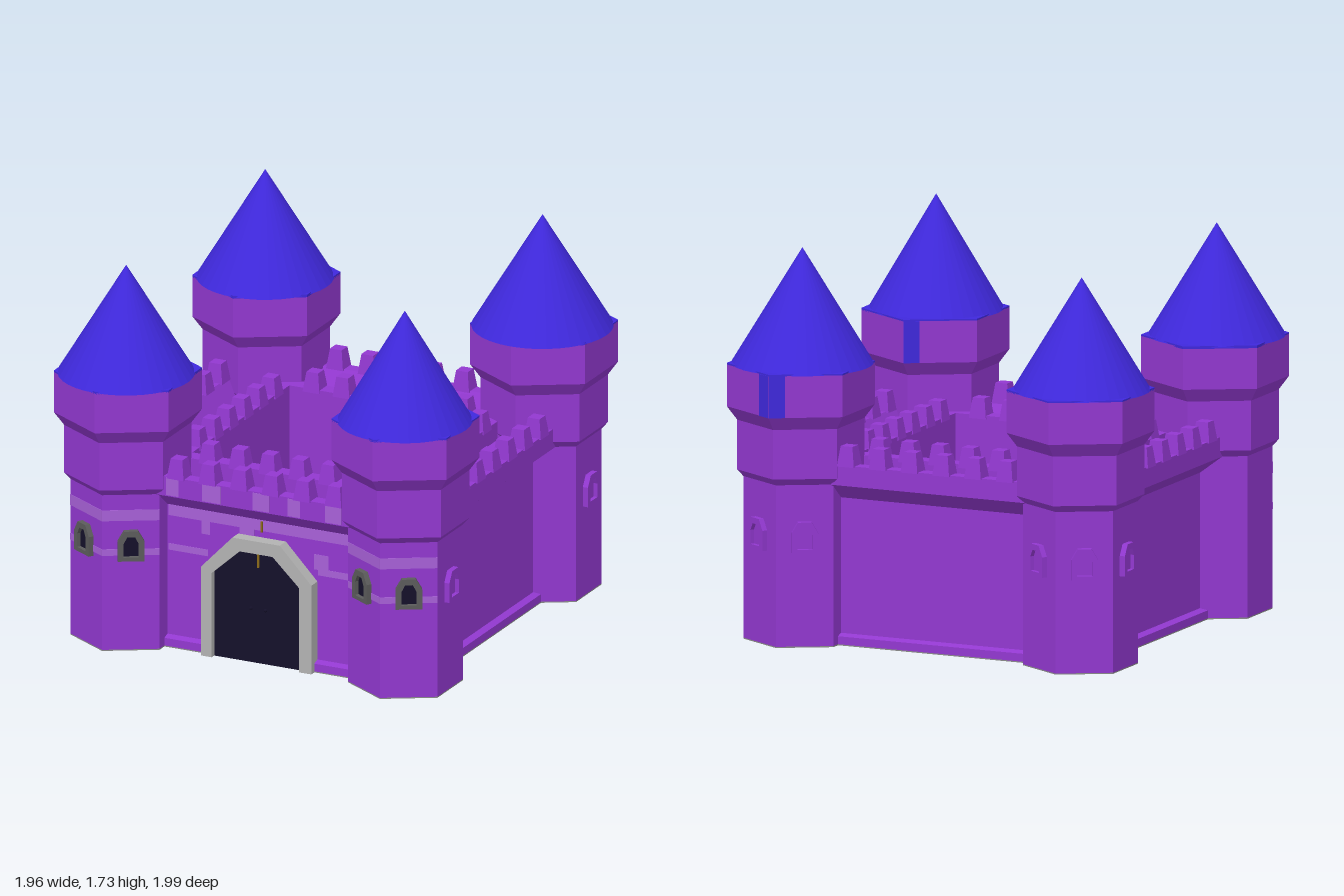
import * as THREE from 'three';

const mat = (color, extra = {}) => new THREE.MeshStandardMaterial({ color, flatShading: true, ...extra });
const PURPLE = mat(0x9238d0), LIGHT = mat(0xa860d8), BLUE = mat(0x3f28dc, { side: THREE.DoubleSide });
const DARK = mat(0x14102a), STONE = mat(0xb2b2b2), GREY = mat(0x5c5c5c), BASE = mat(0x8a8a8a), GOLD = mat(0x8a6a18);

function add(parent, name, geometry, material, x = 0, y = 0, z = 0) {
  const mesh = new THREE.Mesh(geometry, material);
  mesh.name = name;
  mesh.position.set(x, y, z);
  parent.add(mesh);
  return mesh;
}
const box = (parent, name, material, w, h, d, x, y, z) =>
  add(parent, name, new THREE.BoxGeometry(w, h, d), material, x, y, z);

const polygon = (points) => points.map(([x, y]) => new THREE.Vector2(x, y));
const extrude = (shape, depth) => new THREE.ExtrudeGeometry(shape, { depth, bevelEnabled: false });

// Outline of an opening with clipped top corners
const archPoints = (half, shoulder, topHalf, top, bottom = 0) => polygon([
  [-half, bottom], [half, bottom], [half, shoulder], [topHalf, top], [-topHalf, top], [-half, shoulder],
]);

const merlonGeometry = new THREE.CylinderGeometry(0.04, 0.058, 0.09, 4).rotateY(Math.PI / 4);

// One curtain wall, facing +x, running along z
function createWall(name, rotation) {
  const wall = new THREE.Group();
  wall.name = name;
  wall.rotation.y = rotation;
  const profile = new THREE.Shape(polygon([
    [0.47, 0.005], [0.75, 0.005], [0.75, 0.04], [0.72, 0.05], [0.72, 0.65], [0.805, 0.72], [0.805, 0.81],
    [0.745, 0.81], [0.69, 0.72], [0.54, 0.72], [0.54, 0.805], [0.47, 0.805],
  ]));
  add(wall, 'wallBody', extrude(profile, 1.24), PURPLE, 0, 0, -0.62);
  box(wall, 'wallFooting', BASE, 0.28, 0.005, 1.24, 0.61, 0.0025, 0);
  for (let i = 0; i < 6; i++) {
    add(wall, 'outerMerlon', merlonGeometry, PURPLE, 0.773, 0.85, (i - 2.5) * 0.153);
    add(wall, 'innerMerlon', merlonGeometry, PURPLE, 0.505, 0.835, (i - 2.5) * 0.145);
  }
  return wall;
}

// Framed window, facing +z, back on z = 0
function createWindow(frameMaterial, paneMaterial) {
  const group = new THREE.Group();
  group.name = 'window';
  const frame = new THREE.Shape(archPoints(0.058, 0.09, 0.03, 0.138));
  frame.holes.push(new THREE.Path(archPoints(0.033, 0.08, 0.017, 0.112, 0.018).reverse()));
  add(group, 'windowFrame', extrude(frame, 0.03), frameMaterial, 0, 0, -0.005);
  add(group, 'windowPane', extrude(new THREE.Shape(archPoints(0.035, 0.081, 0.018, 0.114, 0.016)), 0.012),
    paneMaterial, 0, 0, -0.005);
  return group;
}

const APOTHEM = 0.25 * Math.cos(Math.PI / 6);

// Group on a tower face whose normal is at the given angle from +z toward +x
function faceGroup(tower, degrees, offset = APOTHEM) {
  const group = new THREE.Group();
  const a = THREE.MathUtils.degToRad(degrees);
  group.name = 'towerFace';
  group.rotation.y = a;
  group.position.set(Math.sin(a) * offset, 0, Math.cos(a) * offset);
  tower.add(group);
  return group;
}

function createTower({ x, z, roofX, roofZ, roofTop, roofRadius, sideWindow }) {
  const tower = new THREE.Group();
  const sx = Math.sign(x), front = z > 0;
  tower.name = (front ? 'front' : 'back') + (sx > 0 ? 'Left' : 'Right') + 'Tower';
  tower.position.set(x, 0, z);

  // Hexagonal shaft, flaring twice
  const profile = polygon([[0, 0.005], [0.25, 0.005], [0.25, 0.72], [0.277, 0.75], [0.277, 0.97], [0.322, 1.03], [0.322, 1.215]]);
  add(tower, 'towerShaft', new THREE.LatheGeometry(profile, 6), PURPLE);
  add(tower, 'towerFooting', new THREE.CylinderGeometry(0.25, 0.25, 0.005, 6), BASE, 0, 0.0025, 0);
  add(tower, 'towerCap', new THREE.CylinderGeometry(0.322, 0.322, 0.012, 6), BLUE, 0, 1.216, 0);

  // Conical roof
  const height = roofTop - 1.215;
  add(tower, 'roof', new THREE.ConeGeometry(roofRadius, height, 36), BLUE,
    roofX - x, 1.215 + height / 2, roofZ - z);

  // Windows and pale stone bands on the outward faces
  const angles = front ? [30, -30] : [150, -150];
  if (sideWindow) angles.push(90 * sx);
  for (const angle of angles) {
    const face = faceGroup(tower, angle);
    const lit = front && Math.abs(angle) < 90;
    const pane = createWindow(lit ? GREY : PURPLE, lit ? DARK : PURPLE);
    pane.position.y = 0.42;
    face.add(pane);
    if (lit) {
      box(face, 'upperBand', LIGHT, 0.25, 0.05, 0.004, 0, 0.625, 0);
      box(face, 'lowerBand', LIGHT, 0.25, 0.03, 0.004, 0, 0.455, 0);
    }
  }

  // Blue corner strip on the rear edge
  if (sx > 0) {
    for (const side of front ? [-1] : [-1, 1]) {
      const strip = faceGroup(tower, 180 - 30 * side, 0.322 * Math.cos(Math.PI / 6));
      box(strip, 'cornerStrip', BLUE, 0.07, 0.185, 0.006, side * 0.125, 1.1225, 0);
    }
  }
  return tower;
}

function createGate() {
  const gate = new THREE.Group();
  gate.name = 'gate';
  gate.position.x = -0.007;
  const frame = new THREE.Shape(polygon([
    [-0.268, 0], [-0.215, 0], [-0.215, 0.39], [-0.08, 0.512], [0.08, 0.512], [0.208, 0.39], [0.208, 0],
    [0.268, 0], [0.268, 0.41], [0.115, 0.57], [-0.115, 0.57], [-0.268, 0.41],
  ]));
  add(gate, 'gateFrame', extrude(frame, 0.07), STONE, 0, 0, 0.71);
  add(gate, 'gateDoors', extrude(new THREE.Shape(archPoints(0.217, 0.392, 0.082, 0.514)), 0.045), DARK, 0, 0, 0.71);
  for (const s of [-1, 1]) add(gate, 'doorKnob', new THREE.SphereGeometry(0.008, 8, 6), DARK, s * 0.035, 0.25, 0.758);
  box(gate, 'goldRod', GOLD, 0.008, 0.065, 0.01, 0, 0.475, 0.756);
  box(gate, 'goldRodTop', GOLD, 0.008, 0.05, 0.01, 0, 0.62, 0.724);
  return gate;
}

export function createModel() {
  const castle = new THREE.Group();
  castle.name = 'castle';

  box(castle, 'courtyardFloor', PURPLE, 0.95, 0.02, 0.95, 0, 0.011, 0);
  ['leftWall', 'backWall', 'rightWall', 'frontWall'].forEach((name, i) => castle.add(createWall(name, i * Math.PI / 2)));

  [
    { x: -0.683, z: 0.672, roofX: -0.682, roofZ: 0.69, roofTop: 1.71, roofRadius: 0.3, sideWindow: false },
    { x: 0.665, z: 0.672, roofX: 0.67, roofZ: 0.69, roofTop: 1.72, roofRadius: 0.295, sideWindow: true },
    { x: -0.683, z: -0.672, roofX: -0.68, roofZ: -0.655, roofTop: 1.71, roofRadius: 0.3, sideWindow: true },
    { x: 0.665, z: -0.672, roofX: 0.668, roofZ: -0.65, roofTop: 1.725, roofRadius: 0.31, sideWindow: true },
  ].forEach((t) => castle.add(createTower(t)));

  castle.add(createGate());

  // Pale stones on the front wall: x, y, width, height, z
  [
    [0, 0.625, 0.92, 0.05, 0.72], [-0.365, 0.455, 0.19, 0.03, 0.72], [0.36, 0.455, 0.19, 0.03, 0.72],
    [-0.28, 0.57, 0.04, 0.06, 0.72], [0.28, 0.5, 0.07, 0.07, 0.72], [-0.08, 0.585, 0.07, 0.03, 0.72],
    [-0.4, 0.765, 0.06, 0.08, 0.805], [-0.21, 0.765, 0.09, 0.08, 0.805],
    [0.03, 0.765, 0.08, 0.08, 0.805], [0.19, 0.765, 0.06, 0.08, 0.805], [0.38, 0.765, 0.08, 0.08, 0.805],
  ].forEach(([x, y, w, h, z]) => box(castle, 'paleStone', LIGHT, w, h, 0.004, x, y, z));

  return castle;
}
